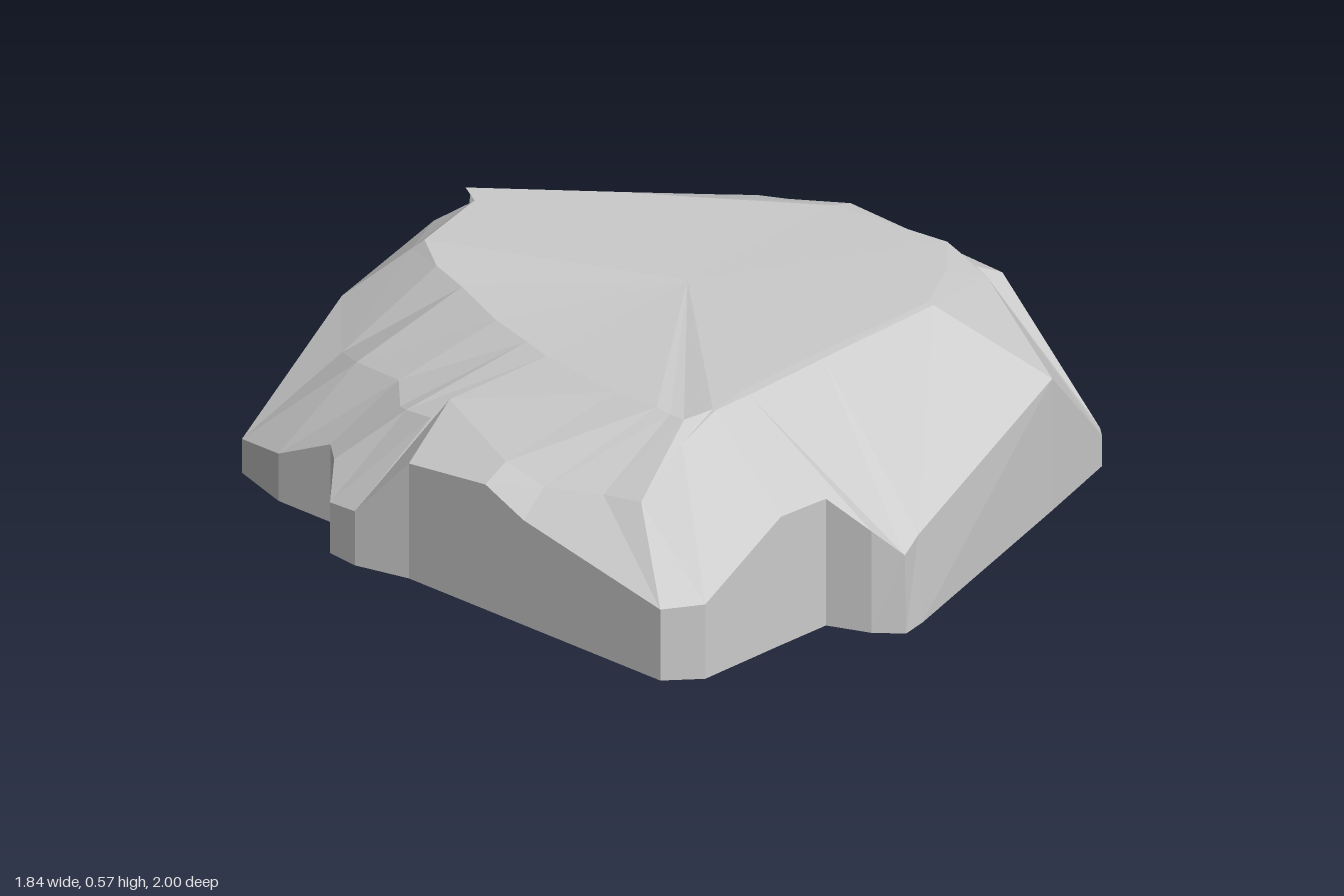
import * as THREE from 'three';

// Rings run round the boulder from its front right corner, one point per column.
// Top edge of the steep sides.
const rim = [
  [-.88, .21, .72], [-.79, .22, .80], [-.50, .38, .805], [-.33, .375, .81], [-.28, .30, .93],
  [-.22, .23, .995], [-.14, .255, .97], [.60, .39, .765], [.89, .09, .675], [.92, .09, .64],
  [.88, .46, .32], [.87, .48, -.22], [.87, .40, -.57], [.87, .40, -.57], [.63, .43, -.74],
  [.40, .46, -.91], [.29, .50, -.92], [.27, .46, -.985], [.06, .47, -.99], [-.31, .38, -.98],
  [-.71, .10, -.97], [-.77, .14, -.78], [-.77, .23, -.59], [-.83, .23, -.52], [-.91, .15, -.46],
  [-.92, .16, -.36], [-.88, .34, -.20], [-.88, .37, .08], [-.88, .31, .22],
];

// Bend in the upper slopes.
const shoulder = [
  [-.74, .39, .38], [-.72, .40, .50], [-.55, .51, .49], [-.43, .57, .50], [-.43, .57, .50],
  [-.30, .57, .50], [0, .57, .49], [.44, .57, .48], [.80, .48, .34], [.80, .48, .34],
  [.80, .50, .30], [.80, .535, -.16], [.74, .45, -.56], [.74, .45, -.56], [.55, .47, -.68],
  [.30, .50, -.92], [.20, .53, -.93], [.15, .54, -.94], [.08, .55, -.88], [-.20, .53, -.83],
  [-.48, .325, -.82], [-.55, .36, -.70], [-.60, .39, -.50], [-.70, .38, -.40], [-.72, .39, -.36],
  [-.74, .41, -.25], [-.70, .46, -.22], [-.80, .41, .08], [-.80, .38, .22],
];

// Edge of the nearly level top.
const crown = [
  [-.50, .55, .40], [-.50, .55, .45], [-.45, .565, .48], [-.43, .57, .49], [-.43, .57, .49],
  [-.30, .572, .47], [0, .572, .46], [.44, .572, .46], [.62, .57, .36], [.62, .57, .36],
  [.75, .57, .24], [.72, .56, -.15], [.50, .56, -.46], [.50, .56, -.46], [.40, .563, -.60],
  [.12, .565, -.935], [.12, .565, -.935], [.12, .565, -.93], [.08, .565, -.86], [-.18, .56, -.80],
  [-.26, .55, -.68], [-.30, .545, -.55], [-.38, .54, -.35], [-.42, .54, -.20], [-.42, .54, -.20],
  [-.45, .54, -.10], [-.45, .54, -.10], [-.50, .55, .20], [-.50, .555, .35],
];

// The foot lies under the rim, except where the sides lean: column -> [x, z].
const leaning = {
  5: [-.22, 1], 6: [-.14, .985], 10: [.915, .32], 11: [.91, -.22], 12: [.90, -.62],
  13: [.885, -.70], 14: [.76, -.86], 15: [.40, -.90], 17: [.28, -.99], 18: [.19, -1],
};
const foot = rim.map(([x, , z], i) => {
  const [fx, fz] = leaning[i] ?? [x, z];
  return [fx, 0, fz];
});

function buildBoulder() {
  const positions = [];
  const v = (p) => new THREE.Vector3(...p);
  const triangle = (a, b, c) => {
    const area = v(b).sub(v(a)).cross(v(c).sub(v(a))).length();
    if (area > 1e-6) positions.push(...a, ...b, ...c);
  };

  // Join each ring to the one above it.
  const rings = [foot, rim, shoulder, crown];
  const n = rim.length;
  for (let r = 0; r < rings.length - 1; r++) {
    const low = rings[r], high = rings[r + 1];
    for (let i = 0; i < n; i++) {
      const j = (i + 1) % n;
      triangle(low[i], low[j], high[j]);
      triangle(low[i], high[j], high[i]);
    }
  }

  // Close the top; the underside stays open.
  const peak = [.1, .572, -.1];
  for (let i = 0; i < n; i++) triangle(crown[i], crown[(i + 1) % n], peak);

  const geometry = new THREE.BufferGeometry();
  geometry.setAttribute('position', new THREE.Float32BufferAttribute(positions, 3));
  geometry.computeVertexNormals();
  return geometry;
}

export function createModel() {
  const group = new THREE.Group();
  group.name = 'rock';
  const stone = new THREE.MeshStandardMaterial({
    color: 0xcccccc, flatShading: true, side: THREE.DoubleSide,
  });
  const boulder = new THREE.Mesh(buildBoulder(), stone);
  boulder.name = 'boulder';
  group.add(boulder);
  return group;
}
